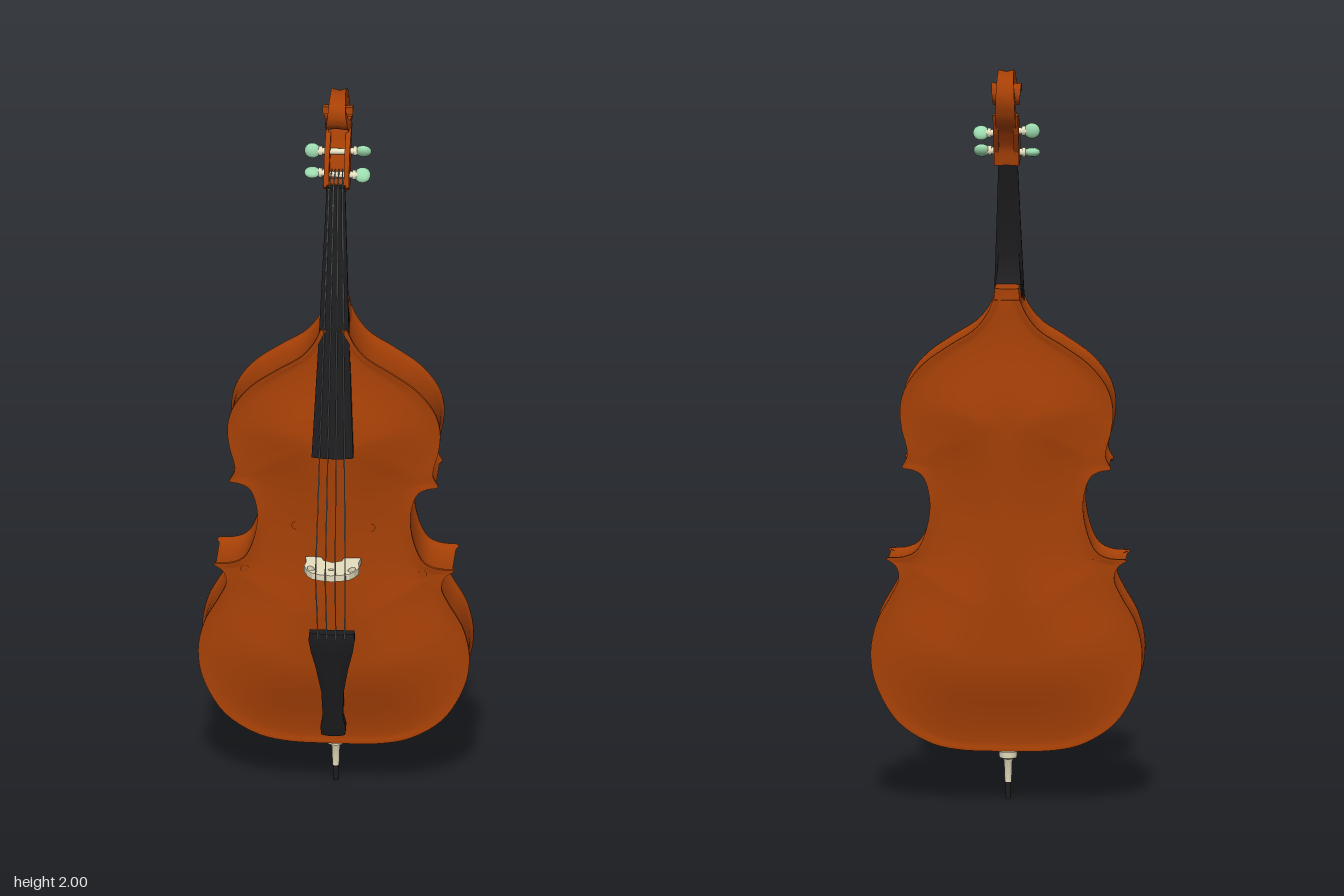
import * as THREE from 'three';
import { toCreasedNormals } from 'three/addons/utils/BufferGeometryUtils.js';

const material = (name, color) => Object.assign(new THREE.MeshStandardMaterial({ color }), { name });
const V2 = (p) => new THREE.Vector2(p[0], p[1]);
const spline = (pts, n) => new THREE.SplineCurve(pts.map(V2)).getPoints(n);
const smooth = THREE.MathUtils.smoothstep;

// Right half of the body outline: lower bout, waist, upper bout, meeting at the corners
function halfOutline() {
  const pts = [
    ...spline([[0, .143], [.12, .146], [.21, .167], [.295, .225], [.35, .32], [.365, .41], [.348, .495], [.31, .565], [.29, .61], [.298, .645], [.325, .664]], 44),
    ...spline([[.318, .668], [.275, .671], [.24, .69], [.217, .74], [.206, .8], [.21, .85], [.225, .89], [.25, .906], [.278, .911]], 26),
    ...spline([[.281, .917], [.267, .945], [.27, .975], [.282, 1.02], [.286, 1.08], [.268, 1.14], [.22, 1.2], [.15, 1.25], [.09, 1.288], [.055, 1.33], [.036, 1.372]], 40),
  ];
  for (let i = 1; i < pts.length; i++) pts[i].y = Math.max(pts[i].y, pts[i - 1].y + 1e-4);
  return pts;
}
const half = halfOutline();

// Arching of the plates, growing with the distance from the edge
const segment = new THREE.Line3(), probe = new THREE.Vector3(), near = new THREE.Vector3();
function arch(x, y, height) {
  let d = 1;
  probe.set(Math.abs(x), y, 0);
  for (let i = 1; i < half.length; i++) {
    segment.start.set(half[i - 1].x, half[i - 1].y, 0);
    segment.end.set(half[i].x, half[i].y, 0);
    segment.closestPointToPoint(probe, true, near);
    d = Math.min(d, near.distanceTo(probe));
  }
  return height * smooth(d, .015, .25) - .003 * smooth(d, .004, .02);
}
const frontZ = (x, y) => .055 + arch(x, y, .037);
const backZ = (x, y) => -.113 - arch(x, y, .034);

function indexed(pos, idx) {
  const g = new THREE.BufferGeometry();
  g.setAttribute('position', new THREE.Float32BufferAttribute(pos, 3));
  g.setIndex(idx);
  g.computeVertexNormals();
  return g;
}

function plate(zAt, flip) {
  const pos = [], idx = [], n = 32;
  half.forEach((p, r) => {
    for (let c = 0; c <= n; c++) {
      const x = p.x * (c / n * 2 - 1);
      pos.push(x, p.y, zAt(x, p.y));
      if (r && c) {
        const d = r * (n + 1) + c, b = d - n - 1;
        idx.push(...(flip ? [b - 1, d, b, b - 1, d - 1, d] : [b - 1, b, d, b - 1, d, d - 1]));
      }
    }
  });
  return indexed(pos, idx);
}

// Skin over closed rings of equal length, turned outward by its signed volume
function loft(rings, capped = true, crease = .7) {
  const n = rings[0].length, pos = rings.flat(2), idx = [];
  for (let r = 1; r < rings.length; r++) for (let i = 0; i < n; i++) {
    const a = (r - 1) * n + i, b = (r - 1) * n + (i + 1) % n;
    idx.push(a, b, b + n, a, b + n, a + n);
  }
  if (capped) [0, rings.length - 1].forEach((r) => {
    const c = pos.length / 3;
    for (let k = 0; k < 3; k++) pos.push(rings[r].reduce((s, p) => s + p[k], 0) / n);
    for (let i = 0; i < n; i++) {
      const a = r * n + i, b = r * n + (i + 1) % n;
      idx.push(...(r ? [c, a, b] : [c, b, a]));
    }
  });
  const v = (i) => new THREE.Vector3(pos[3 * i], pos[3 * i + 1], pos[3 * i + 2]);
  let volume = 0;
  for (let i = 0; i < idx.length; i += 3) volume += v(idx[i]).dot(v(idx[i + 1]).cross(v(idx[i + 2])));
  if (volume < 0) idx.reverse();
  return toCreasedNormals(indexed(pos, idx), crease);
}

// Horizontal section with a bowed front and back
function section([y, w, front, back], bowF, bowB) {
  const steps = [-1, -.75, -.4, 0, .4, .75, 1];
  return [...steps.map((s) => [s * w, y, front - bowF * s * s]),
    ...steps.map((s) => [-s * w, y, back + bowB * s * s])];
}

export function createModel() {
  const model = new THREE.Group();
  model.name = 'doubleBass';
  const wood = material('varnishedWood', 0xa64006), ebony = material('ebony', 0x1d1d1f);
  const cream = material('maple', 0xeae2c2), green = material('pegGreen', 0x9edcb0);
  const steel = material('stringSteel', 0x858a8e);
  const add = (name, geo, mat, parent = model) => {
    const m = new THREE.Mesh(geo, mat);
    m.name = name;
    parent.add(m);
    return m;
  };

  // Body: arched plates and ribs set in behind the overhanging rims
  add('frontPlate', plate(frontZ, false), wood);
  add('backPlate', plate(backZ, true), wood);
  const outline = [...half, ...half.slice(1).reverse().map((p) => new THREE.Vector2(-p.x, p.y))];
  const inset = (d, z) => outline.map((p, i) => {
    const a = outline.at(i - 1), b = outline[(i + 1) % outline.length];
    const t = b.clone().sub(a).normalize();
    return [p.x - t.y * d, p.y + t.x * d, z];
  });
  add('ribs', loft([[0, .055], [0, .046], [.003, .04], [.007, .03], [.007, -.088], [.003, -.098], [0, -.104], [0, -.113]]
    .map(([d, z]) => inset(d, z)), false, .8), wood);
  add('heelBlock', loft([[1.33, .04, .04, -.113], [1.366, .036, .035, -.112], [1.374, .035, -.028, -.111], [1.402, .032, -.03, -.11]]
    .map((s) => section(s, .004, .01))), wood);

  // Sound holes: S-shaped ribbons with round ends, lying on the arch
  const holeCurve = new THREE.SplineCurve([[.098, .795], [.1, .818], [.118, .824], [.135, .8], [.143, .74], [.165, .665], [.192, .618], [.22, .607], [.246, .625], [.245, .652]].map(V2));
  for (const side of [-1, 1]) {
    const pos = [], idx = [], n = 48;
    for (let i = 0; i <= n; i++) {
      const p = holeCurve.getPoint(i / n), t = holeCurve.getTangent(i / n);
      const w = .004 + .008 * Math.sin(Math.PI * i / n) ** 2;
      for (const s of [-1, 1]) {
        const x = p.x - t.y * w * s, y = p.y + t.x * w * s;
        pos.push(side * x, y, frontZ(x, y) + .002);
      }
      if (i) idx.push(2 * i - 2, 2 * i + 1, 2 * i - 1, 2 * i - 2, 2 * i, 2 * i + 1);
    }
    if (side < 0) idx.reverse();
    add('soundHole', indexed(pos, idx), wood);
    for (const [x, y] of [[.101, .795], [.239, .655]])
      add('soundHoleEnd', new THREE.CircleGeometry(.012, 16), wood).position.set(side * x, y, frontZ(x, y) + .004);
  }

  // Neck, fingerboard and nut
  add('neck', loft([[1.748, .023, -.022, -.042], [1.65, .025, -.006, -.022], [1.565, .026, .01, -.004], [1.48, .028, .024, 0],
    [1.44, .03, .032, -.004], [1.415, .033, .036, -.018], [1.4, .035, .04, -.034], [1.365, .038, .046, -.036]]
    .map((s) => section(s, .002, .009))), ebony);
  add('fingerboard', loft([[1.755, .025, -.016, -.032], [1.37, .04, .055, .03], [1.02, .056, .12, .09]]
    .map((s) => section(s, .008, 0))), ebony);
  add('nut', new THREE.BoxGeometry(.05, .012, .018), ebony).position.set(0, 1.756, -.027);

  // Scroll: a ribbon along [z, y, half thickness, half width], curling into the eye
  const scroll = [[-.09, 1.742, .02, .03], [-.1, 1.79, .016, .03], [-.127, 1.84, .018, .028], [-.156, 1.89, .027, .027],
    [-.169, 1.935, .026, .025], [-.15, 1.97, .024, .022], [-.11, 1.981, .019, .02], [-.074, 1.964, .018, .023],
    [-.071, 1.935, .016, .028], [-.092, 1.915, .014, .033], [-.118, 1.925, .013, .037], [-.118, 1.95, .011, .04], [-.1, 1.953, .01, .041]];
  const path = new THREE.CatmullRomCurve3(scroll.map(([z, y]) => new THREE.Vector3(0, y, z)));
  const rings = [];
  for (let i = 0; i <= 60; i++) {
    const u = i / 60, f = u * (scroll.length - 1), k = Math.min(Math.floor(f), scroll.length - 2);
    const [t, w] = [2, 3].map((j) => THREE.MathUtils.lerp(scroll[k][j], scroll[k + 1][j], f - k));
    const p = path.getPoint(u), d = path.getTangent(u);
    rings.push([[-1, -1], [-1, 1], [0, .75], [1, 1], [1, -1], [0, -1]]
      .map(([a, b]) => [a * w, p.y + d.z * b * t, p.z - d.y * b * t]));
  }
  add('scroll', loft(rings, true, .6), wood);
  const core = add('scrollCore', new THREE.CylinderGeometry(.036, .036, .036, 24), wood);
  core.rotation.z = Math.PI / 2;
  core.position.set(0, 1.95, -.1);

  // Peg box cheeks and floor
  const cheek = new THREE.Shape([[.035, 1.755], [.048, 1.8], [.063, 1.835], [.1, 1.865], [.137, 1.885], [.172, 1.885], [.148, 1.83], [.113, 1.775], [.106, 1.738], [.05, 1.742]].map(V2));
  for (const x of [-.034, .02]) {
    const g = new THREE.ExtrudeGeometry(cheek, { depth: .014, bevelEnabled: false });
    add('pegBoxCheek', g.rotateY(Math.PI / 2).translate(x, 0, 0), wood);
  }
  add('pegBoxFloor', new THREE.BoxGeometry(.056, .022, .062), wood).position.set(0, 1.752, -.07);

  // Tuning pegs: [side, y, z, turn of the flat head]
  for (const [side, y, z, turn] of [[-1, 1.832, -.1, .1], [1, 1.828, -.114, .6], [-1, 1.772, -.09, 1.4], [1, 1.774, -.078, -.7]]) {
    const peg = new THREE.Group();
    peg.name = 'tuningPeg';
    add('pegShaft', new THREE.CylinderGeometry(.01, .007, .09, 12), cream, peg).position.y = .012;
    add('pegCollar', new THREE.CylinderGeometry(.013, .013, .01, 12), cream, peg).position.y = .046;
    const head = add('pegHead', new THREE.SphereGeometry(1, 12, 8), green, peg);
    head.position.y = .068;
    head.scale.set(.022, .022, .013);
    head.rotation.y = turn;
    peg.rotation.z = -side * Math.PI / 2;
    peg.position.set(0, y, z);
    model.add(peg);
  }

  // Bridge with feet, side windows and a centre cut-out
  const bridge = new THREE.Shape([[-.075, .08], [-.03, .08], [-.025, .1], [0, .112], [.025, .1], [.03, .08], [.075, .08],
    [.07, .11], [.074, .138], [.064, .165], [.05, .182], [.025, .192], [0, .195], [-.025, .192], [-.05, .182], [-.064, .165], [-.074, .138], [-.07, .11]].map(V2));
  for (const [x, y, rx, ry, tilt] of [[-.055, .153, .009, .015, -.4], [.055, .153, .009, .015, .4], [0, .157, .008, .006, 0]])
    bridge.holes.push(new THREE.Path().absellipse(x, y, rx, ry, 0, Math.PI * 2, true, tilt));
  const bridgeGeo = new THREE.ExtrudeGeometry(bridge, { depth: .018, bevelEnabled: false, curveSegments: 10 });
  add('bridge', bridgeGeo.rotateX(Math.PI / 2).translate(0, .709, 0), cream);

  // Tailpiece
  add('tailpiece', loft([[.512, .06, .152, .12], [.49, .062, .152, .115], [.45, .056, .144, .107], [.4, .044, .134, .098], [.32, .03, .117, .082],
    [.24, .027, .102, .066], [.205, .034, .095, .058], [.18, .032, .088, .056]].map((s) => section(s, .01, 0))), ebony);

  // Strings from the peg box over nut and bridge to the tailpiece
  for (let i = 0; i < 4; i++) {
    const k = (i - 1.5) / 1.5, sag = .006 * k * k;
    const pts = [[.014 * k, 1.79, -.075], [.018 * k, 1.764, -.017 - sag / 2], [.04 * k, .7, .196 - sag], [.036 * k, .5, .151 - sag / 2]];
    const line = new THREE.CurvePath();
    for (let j = 1; j < 4; j++) line.add(new THREE.LineCurve3(new THREE.Vector3(...pts[j - 1]), new THREE.Vector3(...pts[j])));
    add('string', new THREE.TubeGeometry(line, 60, .0017, 6), steel);
  }

  // End pin
  const pin = new THREE.Group();
  pin.name = 'endPin';
  pin.position.z = -.021;
  const profile = [[0, .045], [.009, .045], [.011, .1], [.014, .108], [.024, .112], [.025, .128], [.016, .134], [.016, .15]].map(V2);
  add('endPinSocket', toCreasedNormals(new THREE.LatheGeometry(profile, 20), .6), cream, pin);
  add('endPinTip', new THREE.CylinderGeometry(.0085, .007, .05, 14), ebony, pin).position.y = .025;
  model.add(pin);
  return model;
}
